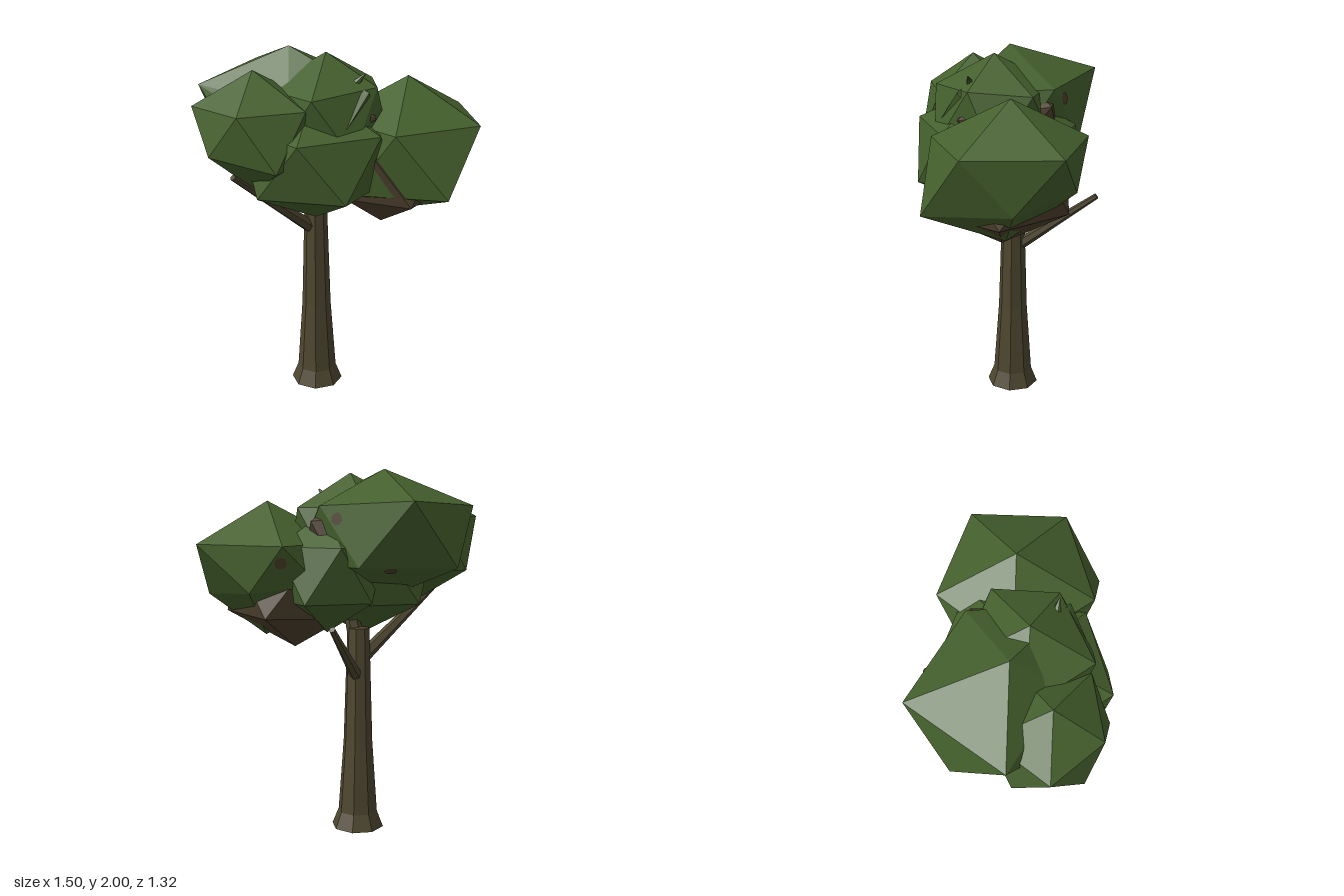
import * as THREE from 'three';
import { ConvexGeometry } from 'three/addons/geometries/ConvexGeometry.js';

const UP = new THREE.Vector3(0, 1, 0);
const FORWARD = new THREE.Vector3(0, 0, 1);

const material = (name, color) => {
  const m = new THREE.MeshStandardMaterial({ color, flatShading: true });
  m.name = name;
  return m;
};

// Twenty-sided lump: two offset rings of five between two poles.
// Ring corner i sits at i * 36 degrees (even = upper, odd = lower); 10 is the bottom.
// "moved" gives new places for the few corners that make a lump uneven.
function lumpGeometry([x, y, z], radius, height, moved) {
  const points = [];
  for (let i = 0; i < 10; i++) {
    const a = (i * Math.PI) / 5, r = radius * 0.894;
    points.push([x + Math.cos(a) * r, y + (i % 2 ? -0.447 : 0.447) * height, z + Math.sin(a) * r]);
  }
  points.push([x, y - height, z], [x, y + height, z]);
  for (const i in moved) points[i] = moved[i];
  return new ConvexGeometry(points.map((p) => new THREE.Vector3(...p)));
}

// Tapered stick between two points
function stickGeometry(from, to, r0, r1) {
  const a = new THREE.Vector3(...from), b = new THREE.Vector3(...to);
  const dir = b.clone().sub(a);
  const g = new THREE.CylinderGeometry(r1, r0, dir.length(), 6);
  g.applyQuaternion(new THREE.Quaternion().setFromUnitVectors(UP, dir.normalize()));
  return g.translate(...a.add(b).multiplyScalar(0.5).toArray());
}

export function createModel() {
  const tree = new THREE.Group();
  tree.name = 'tree';
  const bark = material('bark', 0x4d462f);
  const leaf = material('leaf green', 0x45602d);
  const deadLeaf = material('dead leaf brown', 0x4d402d);

  const add = (name, geometry, mat) => {
    const mesh = new THREE.Mesh(geometry, mat);
    mesh.name = name;
    tree.add(mesh);
    return mesh;
  };

  // Flared trunk
  const profile = [[0, 0], [0.147, 0], [0.111, 0.09], [0.082, 0.5], [0.062, 1.14], [0, 1.15]];
  const trunk = new THREE.LatheGeometry(profile.map(([r, y]) => new THREE.Vector2(r, y)), 8);
  add('trunk', trunk, bark).position.set(-0.06, 0, -0.105);

  // Branches
  add('backBranch', stickGeometry([-0.03, 0.88, -0.13], [0.3, 1.2, -0.41], 0.034, 0.016), bark);
  add('sideBranch', stickGeometry([-0.08, 0.97, -0.11], [-0.6, 1.38, -0.13], 0.04, 0.018), bark);
  add('topBranch', stickGeometry([-0.05, 1.08, -0.1], [0.0, 1.5, -0.02], 0.045, 0.03), bark);

  // Foliage lumps, with round bark knots lying on the face towards each given point
  const addLump = (name, mat, centre, radius, height, moved = {}, knots = []) => {
    const lump = add(name, lumpGeometry(centre, radius, height, moved), mat);
    for (const target of knots) {
      const from = new THREE.Vector3(...centre);
      const dir = new THREE.Vector3(...target).sub(from).normalize();
      const ray = new THREE.Raycaster(from.addScaledVector(dir, 2), dir.clone().negate());
      const { point, face } = ray.intersectObject(lump)[0];
      const knot = add('knot', new THREE.CircleGeometry(0.034, 8), deadLeaf);
      knot.position.copy(point).addScaledVector(face.normal, 0.004);
      knot.quaternion.setFromUnitVectors(FORWARD, face.normal);
    }
  };
  addLump('rightFoliage', leaf, [0.33, 1.43, 0.21], 0.475, 0.4,
    { 1: [0.6, 1.32, 0.4], 3: [0.18, 1.27, 0.66], 7: [0.24, 1.4, -0.19], 9: [0.57, 1.36, -0.03], 10: [0.33, 1.09, 0.24] },
    [[0.45, 1.52, -0.15]]);
  addLump('topFoliage', leaf, [-0.08, 1.65, 0.01], 0.375, 0.33, { 2: [0.04, 1.82, 0.27] });
  addLump('sideFoliage', leaf, [-0.46, 1.6, -0.12], 0.35, 0.32,
    { 4: [-0.68, 1.74, 0.03], 5: [-0.75, 1.52, -0.12] }, [[-0.5, 1.42, -0.22]]);
  addLump('frontFoliage', leaf, [-0.16, 1.44, 0.01], 0.44, 0.35);
  addLump('backFoliage', leaf, [-0.18, 1.65, -0.17], 0.535, 0.35,
    { 0: [0.22, 1.81, -0.16], 4: [-0.35, 1.74, 0.03], 5: [-0.52, 1.5, -0.17], 8: [-0.02, 1.84, -0.66], 9: [0.14, 1.5, -0.41] },
    [[0.2, 1.75, -0.27], [0, 1.46, -0.5]]);
  addLump('innerFoliage', leaf, [0.1, 1.45, -0.04], 0.345, 0.33);
  addLump('lowerDeadFoliage', deadLeaf, [0.19, 1.36, 0.16], 0.39, 0.34,
    { 1: [0.49, 1.22, 0.4], 4: [-0.06, 1.48, 0.35], 5: [-0.08, 1.21, 0.16], 9: [0.49, 1.22, -0.05] });
  addLump('innerDeadFoliage', deadLeaf, [0.0, 1.64, -0.08], 0.26, 0.24,
    { 0: [0.25, 1.73, -0.12], 2: [0.0, 1.67, 0.31] });

  // Small sprig poking out of the crown
  add('sprig', stickGeometry([-0.1, 1.74, 0.12], [-0.01, 1.89, 0.23], 0.06, 0.004), leaf);

  return tree;
}
